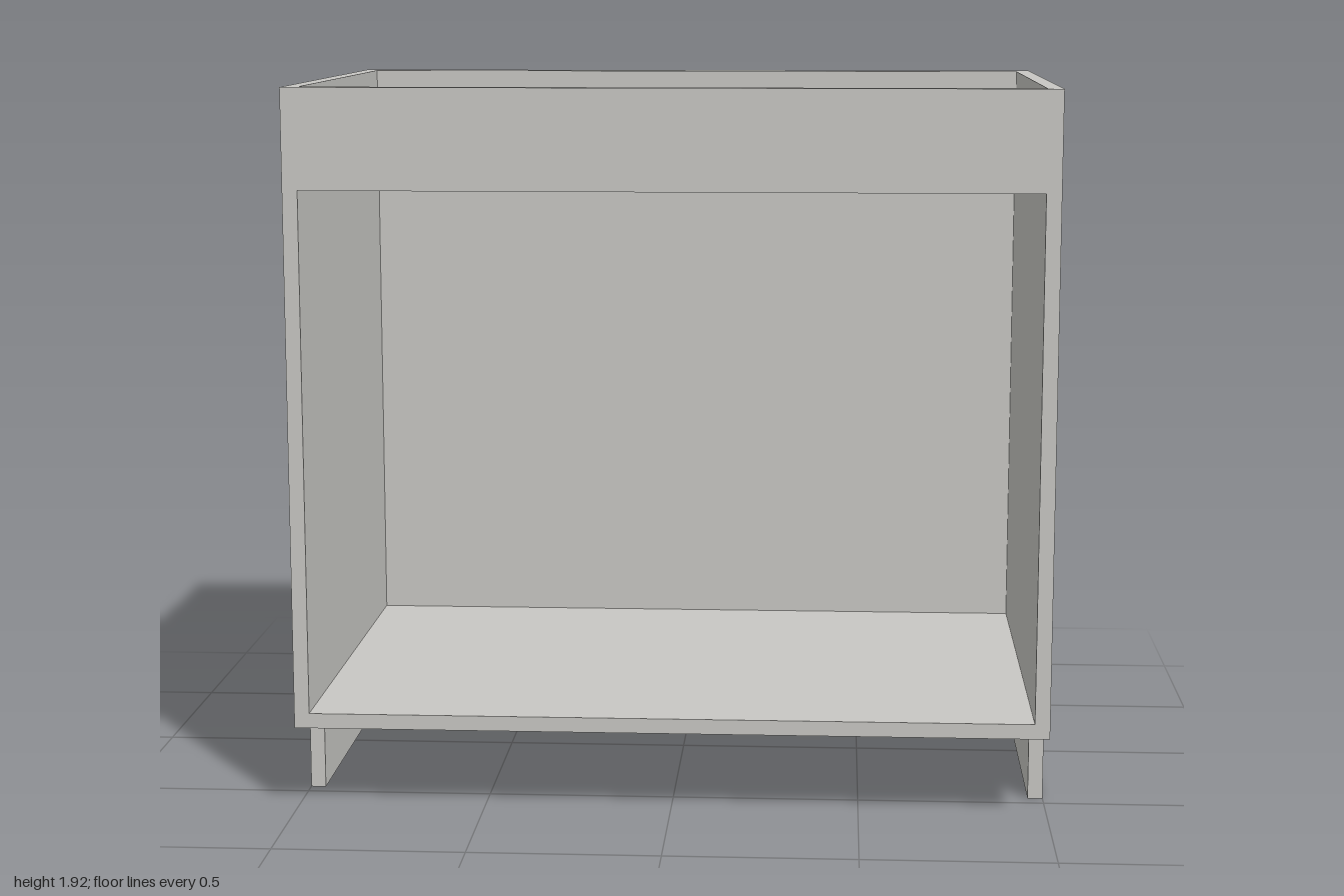
import * as THREE from 'three';

const W = 1, H = 1.92, D = 0.667, T = 0.04; // half width, height, half depth, board thickness
const BASE = 0.225;                         // underside of the floor panel
const TOE = 0.458;                          // front of the feet at the toe kick
const RAIL = 0.14;                          // height of the back rails

export function createModel() {
  const group = new THREE.Group();
  const board = new THREE.MeshStandardMaterial({ color: 0xc8c7c3 });
  board.name = 'warm grey board';

  const add = (name, geometry) => {
    const mesh = new THREE.Mesh(geometry, board);
    mesh.name = name;
    group.add(mesh);
    return mesh;
  };

  // Board spanning the inside width, given by its y and z limits
  const span = (name, y0, y1, z0, z1) => {
    const mesh = add(name, new THREE.BoxGeometry(2 * (W - T), y1 - y0, z1 - z0));
    mesh.position.set(0, (y0 + y1) / 2, (z0 + z1) / 2);
  };

  // Side panels: profile in (-z, y) with the toe-kick notch, extruded along x
  const profile = new THREE.Shape([
    [D, 0], [D, H], [-D, H], [-D, BASE], [-TOE, BASE], [-TOE, 0],
  ].map(([x, y]) => new THREE.Vector2(x, y)));
  for (const [name, x] of [['leftSide', W - T], ['rightSide', -W]]) {
    const side = new THREE.ExtrudeGeometry(profile, { depth: T, bevelEnabled: false });
    side.rotateY(Math.PI / 2);
    add(name, side).position.x = x;
  }

  // Floor and front
  span('floorPanel', BASE, BASE + T, -D, D);
  span('frontRail', 1.655, H, D - T, D);
  span('frontStretcher', 1.655, 1.655 + T, 0.443, D - T);

  // Back panel, set in behind two rails
  span('backPanel', BASE + T, H, -D + T, -D + 2 * T);
  span('backTopRail', H - RAIL, H, -D, -D + T);
  span('backBottomRail', BASE + T, BASE + T + RAIL, -D, -D + T);

  return group;
}
